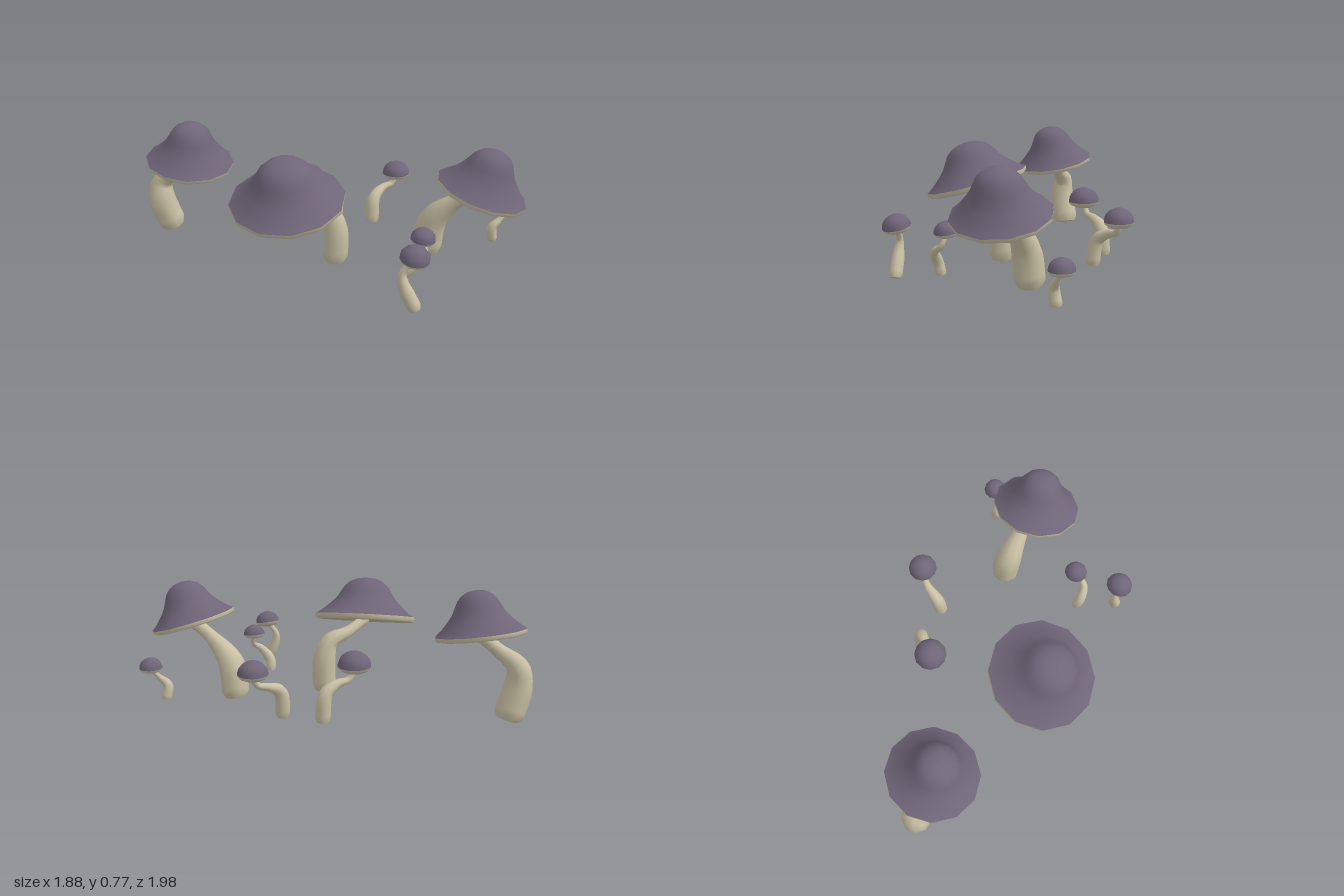
import * as THREE from 'three';
import { mergeVertices } from 'three/addons/utils/BufferGeometryUtils.js';

const UP = new THREE.Vector3(0, 1, 0);

const capMaterial = new THREE.MeshStandardMaterial({ color: 0x6f6578 });
capMaterial.name = 'duskyPurple';
const stemMaterial = new THREE.MeshStandardMaterial({ color: 0xcac1a5 });
stemMaterial.name = 'paleCream';

function mesh(name, geometry, material) {
  const m = new THREE.Mesh(geometry, material);
  m.name = name;
  return m;
}

const points2 = (list) => list.map(([x, y]) => new THREE.Vector2(x, y));

// Part of an ellipse of half width 1, from its lowest point or its rim upwards
const arc = (height, from, to, steps) => Array.from({ length: steps + 1 }, (_, i) => {
  const a = THREE.MathUtils.lerp(from, to, i / steps) * Math.PI / 2;
  return new THREE.Vector2(Math.abs(Math.cos(a)), Math.sin(a) * height);
});

// Cap profiles in units of the cap radius
const BELL = {
  capDome: new THREE.SplineCurve(points2([[1, 0], [0.85, 0.12], [0.6, 0.4], [0.42, 0.73], [0.22, 0.88], [0, 0.92]])).getPoints(12),
  capRim: points2([[0.955, -0.1], [0.995, -0.07], [1, 0]]),
  capGills: points2([[0, -0.08], [0.955, -0.1]]),
};
const BUTTON = {
  capDome: arc(0.91, 0, 1, 6),
  capUnderside: arc(0.43, -1, 0, 5),
};

// Bent tube, full at the foot and tapering to a thin neck
function buildStem(path, radius) {
  const sides = 9;
  const rings = 18;
  const curve = new THREE.CatmullRomCurve3(path);
  const tube = new THREE.TubeGeometry(curve, rings, 1, sides, false);
  const { position, normal } = tube.attributes;
  const v = new THREE.Vector3();
  const n = new THREE.Vector3();
  for (let id = 0; id < position.count; id++) {
    const t = Math.floor(id / (sides + 1)) / rings;
    const taper = t === 0 ? 0.82 : 1.03 - 0.57 * THREE.MathUtils.smoothstep(t, 0.25, 0.85);
    n.fromBufferAttribute(normal, id);
    v.fromBufferAttribute(position, id).addScaledVector(n, radius * taper - 1);
    position.setXYZ(id, v.x, v.y, v.z);
  }
  tube.deleteAttribute('uv');
  tube.deleteAttribute('normal');
  const geometry = mergeVertices(tube, 1e-5);
  geometry.computeVertexNormals();

  const foot = mesh('stemFoot', new THREE.CircleGeometry(radius * 0.82, sides), stemMaterial);
  foot.position.copy(path[0]);
  foot.quaternion.setFromUnitVectors(new THREE.Vector3(0, 0, 1), curve.getTangentAt(0).negate());

  const stem = new THREE.Group();
  stem.name = 'stem';
  stem.add(mesh('stemTube', geometry, stemMaterial), foot);
  return stem;
}

// Lathed cap, tilted so its rim rises by slope along x and z
function buildCap(profile, centre, r, height, slope) {
  const cap = new THREE.Group();
  cap.name = 'cap';
  for (const [name, points] of Object.entries(profile)) {
    const geometry = new THREE.LatheGeometry(points, 12);
    geometry.scale(r, name === 'capDome' ? r * height : r, r);
    cap.add(mesh(name, geometry, name === 'capDome' ? capMaterial : stemMaterial));
  }
  cap.position.copy(centre);
  cap.quaternion.setFromUnitVectors(UP, new THREE.Vector3(-slope[0], 1, -slope[1]).normalize());
  return cap;
}

// A stem runs from the foot [x, y, z] through the bends into the cap centre
function buildMushroom(name, profile, { centre, r, height = 1, slope = [0, 0], stemRadius, stem }) {
  const middle = new THREE.Vector3(...centre);
  const path = stem.map((p) => new THREE.Vector3(...p));
  path.push(middle.clone().addScaledVector(UP, -0.06 * r));
  const mushroom = new THREE.Group();
  mushroom.name = name;
  mushroom.add(buildStem(path, stemRadius), buildCap(profile, middle, r, height, slope));
  return mushroom;
}

export function createModel() {
  const model = new THREE.Group();
  model.name = 'mushroomCluster';

  // Three large bell-capped mushrooms
  model.add(
    buildMushroom('backLargeMushroom', BELL, {
      centre: [-0.67, 0.515, -0.7], r: 0.275, slope: [0, -0.22], stemRadius: 0.087,
      stem: [[-0.74, 0.012, -0.89], [-0.8, 0.22, -0.905], [-0.785, 0.33, -0.9], [-0.73, 0.415, -0.8]],
    }),
    buildMushroom('leftLargeMushroom', BELL, {
      centre: [-0.475, 0.48, 0.145], r: 0.335, height: 0.82, slope: [0.2, -0.19], stemRadius: 0.075,
      stem: [[-0.165, 0.012, 0.18], [-0.17, 0.23, 0.185], [-0.205, 0.335, 0.175], [-0.32, 0.39, 0.14]],
    }),
    buildMushroom('rightLargeMushroom', BELL, {
      centre: [0.515, 0.485, 0.705], r: 0.275, slope: [-0.18, -0.25], stemRadius: 0.087,
      stem: [[0.38, 0.012, 0.4], [0.39, 0.23, 0.44], [0.465, 0.4, 0.59]],
    }),
  );

  // Five small button-capped mushrooms
  model.add(
    buildMushroom('backSmallMushroom', BUTTON, {
      centre: [0.01, 0.343, -0.36], r: 0.1, stemRadius: 0.044,
      stem: [[0.22, 0.03, -0.335], [0.195, 0.205, -0.335], [0.12, 0.25, -0.34], [0.045, 0.268, -0.355]],
    }),
    buildMushroom('sideSmallMushroom', BUTTON, {
      centre: [0.555, 0.33, -0.12], r: 0.09, stemRadius: 0.043,
      stem: [[0.35, 0.03, -0.112], [0.375, 0.19, -0.125], [0.46, 0.24, -0.14], [0.53, 0.26, -0.13]],
    }),
    buildMushroom('frontSmallMushroom', BUTTON, {
      centre: [0.043, 0.305, 0.73], r: 0.072, slope: [0, -0.12], stemRadius: 0.032,
      stem: [[-0.07, 0.03, 0.695], [-0.075, 0.11, 0.715], [-0.03, 0.185, 0.765], [0.035, 0.23, 0.76]],
    }),
    buildMushroom('foremostSmallMushroom', BUTTON, {
      centre: [-0.18, 0.325, 0.915], r: 0.083, slope: [0, -0.2], stemRadius: 0.038,
      stem: [[-0.18, 0.03, 0.935], [-0.225, 0.18, 0.88], [-0.225, 0.24, 0.872]],
    }),
    buildMushroom('rightTinyMushroom', BUTTON, {
      centre: [0.867, 0.24, 0.605], r: 0.072, stemRadius: 0.032,
      stem: [[0.79, 0.03, 0.568], [0.775, 0.12, 0.573], [0.82, 0.175, 0.595]],
    }),
  );
  return model;
}
